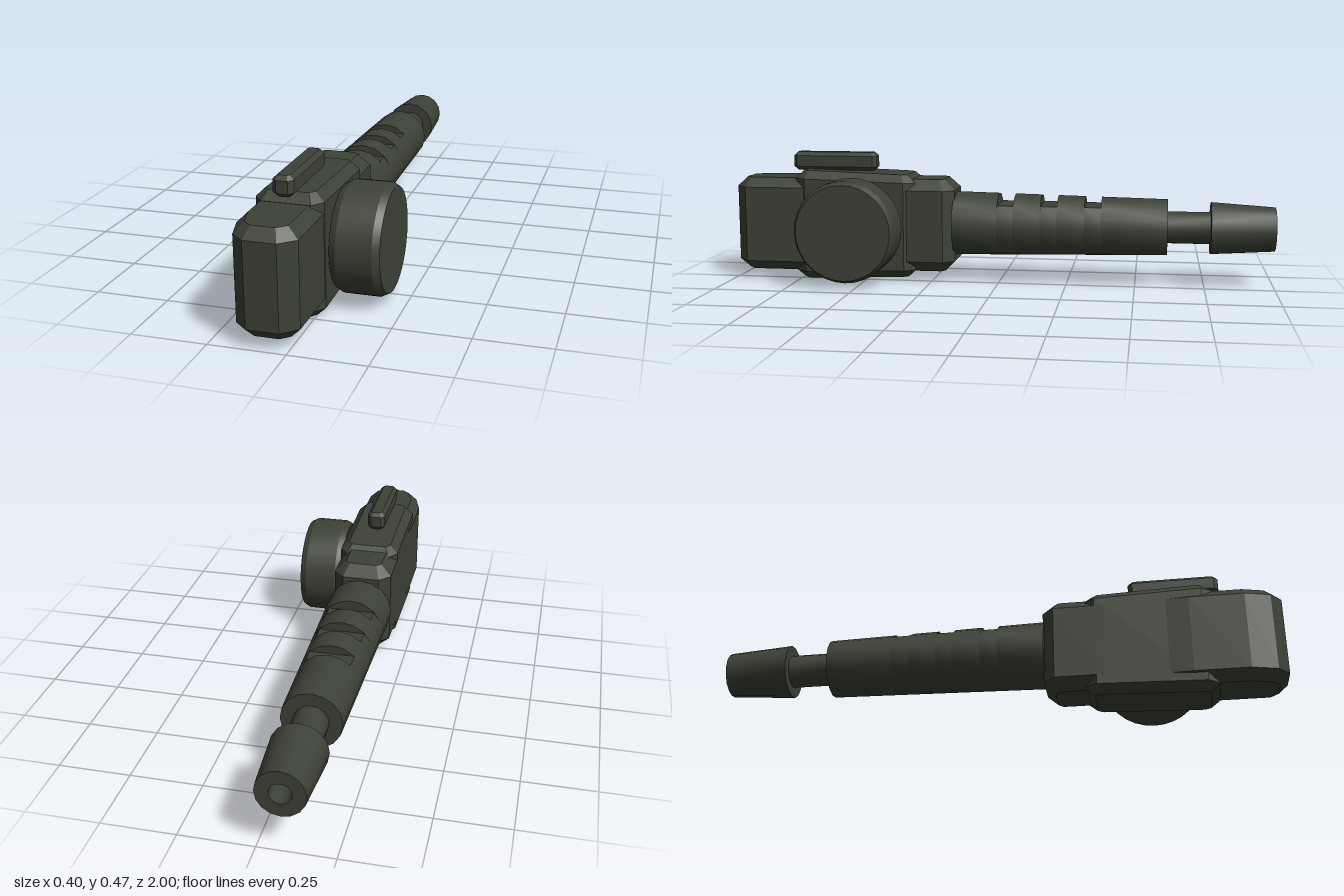
import * as THREE from 'three';
import { toCreasedNormals } from 'three/addons/utils/BufferGeometryUtils.js';

const AXIS_X = -0.08, AXIS_Y = 0.21;

// Rectangle in plan (x, z) with its vertical corners cut off
function cutRect(x0, x1, z0, z1, cx, cz) {
  return [
    [x0 + cx, z0], [x1 - cx, z0], [x1, z0 + cz], [x1, z1 - cz],
    [x1 - cx, z1], [x0 + cx, z1], [x0, z1 - cz], [x0, z0 + cz],
  ];
}

// Block raised from a plan outline, with chamfered top and bottom edges
function chamferedBlock(plan, y0, y1, c) {
  const shape = new THREE.Shape(plan.map(([x, z]) => new THREE.Vector2(x, -z)));
  const geo = new THREE.ExtrudeGeometry(shape, {
    depth: y1 - y0 - 2 * c, bevelEnabled: true, bevelSegments: 1,
    bevelSize: c, bevelThickness: c, bevelOffset: -c,
  });
  geo.rotateX(-Math.PI / 2);
  geo.translate(0, y0 + c, 0);
  return geo;
}

export function createModel() {
  const model = new THREE.Group();
  const olive = new THREE.MeshStandardMaterial({ color: 0x3d4236 });
  olive.name = 'darkOlive';

  function add(name, geo, parent = model) {
    const mesh = new THREE.Mesh(geo, olive);
    mesh.name = name;
    parent.add(mesh);
    return mesh;
  }

  // Nose block, rounded off in plan at the front
  add('noseBlock', chamferedBlock([
    [-0.19, 0.6], [0.03, 0.6], [0.03, 0.955], [-0.02, 1], [-0.125, 1],
    [-0.17, 0.96], [-0.195, 0.87], [-0.195, 0.68],
  ], 0.03, 0.38, 0.035));

  // Middle housing, slightly taller towards the front
  const housing = chamferedBlock(cutRect(-0.19, 0.032, 0.31, 0.765, 0.03, 0.04), 0, 0.41, 0.03);
  const hp = housing.attributes.position;
  for (let i = 0; i < hp.count; i++) {
    const shrink = 1 - 0.07 * (0.74 - hp.getZ(i)) / 0.42;
    hp.setY(i, 0.205 + (hp.getY(i) - 0.205) * shrink);
  }
  housing.computeVertexNormals();
  add('housing', housing);

  // Rear block that holds the barrel
  add('rearBlock', chamferedBlock(cutRect(-0.19, 0.025, 0.165, 0.42, 0.04, 0.04), 0.035, 0.38, 0.04));

  // Top rail
  add('topRail', chamferedBlock(cutRect(-0.114, -0.046, 0.47, 0.79, 0.015, 0.015), 0.404, 0.473, 0.014));

  // Side drum
  const drum = new THREE.LatheGeometry([
    [0, 0.037], [0.173, 0.037], [0.185, 0.06], [0.185, 0.177], [0.173, 0.2], [0, 0.2],
  ].map(([r, t]) => new THREE.Vector2(r, t)), 32);
  drum.rotateZ(-Math.PI / 2);
  drum.translate(0, 0.205, 0.535);
  add('sideDrum', toCreasedNormals(drum, 0.45));

  // Barrel: tapered sections, every second one cut flat on top as a notch
  const barrel = new THREE.Group();
  barrel.name = 'barrel';
  model.add(barrel);
  const stops = [0.17, 0.005, -0.055, -0.155, -0.215, -0.315, -0.375, -0.615];
  const radius = (z) => 0.104 + 0.016 * (z + 0.615) / 0.785;
  for (let i = 0; i < stops.length - 1; i++) {
    const [z0, z1] = [stops[i], stops[i + 1]];
    const geo = new THREE.CylinderGeometry(radius(z1), radius(z0), z0 - z1, 16);
    geo.rotateX(-Math.PI / 2);
    geo.translate(AXIS_X, AXIS_Y, (z0 + z1) / 2);
    const isNotch = i % 2 === 1;
    if (isNotch) {
      const p = geo.attributes.position;
      for (let k = 0; k < p.count; k++) p.setY(k, Math.min(p.getY(k), 0.288));
    }
    add(isNotch ? 'barrelNotch' : 'barrelSection', toCreasedNormals(geo, 0.6), barrel);
  }

  // Neck and hollow tapered muzzle
  const muzzle = new THREE.LatheGeometry([
    [0.059, 0.6], [0.059, 0.77], [0.096, 0.77], [0.081, 1],
    [0.036, 1], [0.036, 0.88], [0, 0.88],
  ].map(([r, t]) => new THREE.Vector2(r, t)), 16);
  muzzle.rotateX(-Math.PI / 2);
  muzzle.translate(AXIS_X, AXIS_Y, 0);
  add('muzzle', toCreasedNormals(muzzle, 0.6));

  return model;
}
